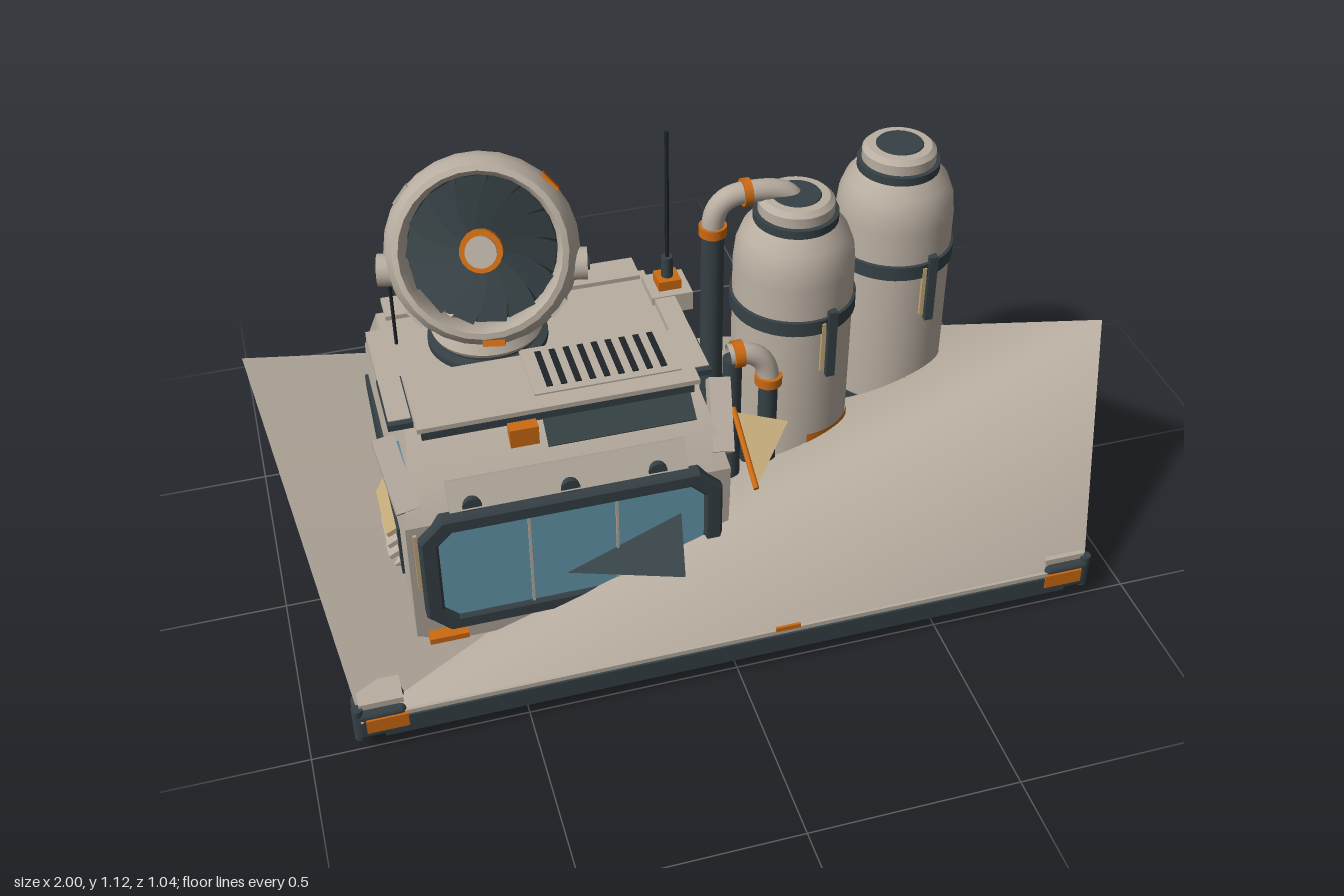
import * as THREE from 'three';
import { RoundedBoxGeometry } from 'three/addons/geometries/RoundedBoxGeometry.js';
import { toCreasedNormals } from 'three/addons/utils/BufferGeometryUtils.js';

const mat = (name, color, side = THREE.FrontSide) => {
  const m = new THREE.MeshStandardMaterial({ color, side });
  m.name = name;
  return m;
};

export function createModel() {
  const shell = mat('warm grey shell', 0xb9aea1, THREE.DoubleSide);
  const dark = mat('dark slate', 0x364145, THREE.DoubleSide);
  const black = mat('shadow black', 0x1d2427, THREE.DoubleSide);
  const orange = mat('signal orange', 0xcc6a12);
  const glass = mat('window blue', 0x6499ae);
  const sand = mat('pale sand', 0xc0a878, THREE.DoubleSide);
  const root = new THREE.Group();
  root.name = 'fieldStation';

  const add = (name, geo, material, pos = [0, 0, 0], parent = root) => {
    const m = new THREE.Mesh(geo, material);
    m.name = name;
    m.position.set(...pos);
    parent.add(m);
    return m;
  };
  const box = (name, size, pos, material, parent) =>
    add(name, new THREE.BoxGeometry(...size), material, pos, parent);
  const V = p => new THREE.Vector3(...p);
  const rod = (name, a, b, r, material, parent = root) => {
    const d = V(b).sub(V(a));
    const m = add(name, new THREE.CylinderGeometry(r, r, d.length(), 18), material,
      V(a).addScaledVector(d, 0.5).toArray(), parent);
    m.quaternion.setFromUnitVectors(new THREE.Vector3(0, 1, 0), d.normalize());
    return m;
  };
  const elbow = (name, a, corner, b, r) => add(name, new THREE.TubeGeometry(
    new THREE.QuadraticBezierCurve3(V(a), V(corner), V(b)), 12, r, 16), shell);
  const lathe = (pts, seg = 40) => toCreasedNormals(
    new THREE.LatheGeometry(pts.map(p => new THREE.Vector2(...p)), seg), 0.6);
  const facets = (pts, index) => {
    const g = new THREE.BufferGeometry();
    g.setAttribute('position', new THREE.Float32BufferAttribute(pts.flat(), 3));
    g.setIndex(index);
    g.computeVertexNormals();
    return g;
  };

  // Ground frame: long rails, end rails, corner blocks and cables
  for (const s of [1, -1]) {
    box('longRail', [1.66, 0.05, 0.035], [0, 0.07, s * 0.5], dark);
    box('longRailCap', [1.6, 0.012, 0.025], [0, 0.101, s * 0.5], shell);
    box('endRail', [0.022, 0.024, 0.92], [s * 0.87, 0.087, 0], dark);
    box('endRailCap', [0.034, 0.016, 0.92], [s * 0.87, 0.108, 0], shell);
    rod('endCable', [s * 0.89, 0.036, -0.5], [s * 0.89, 0.036, 0.5], 0.003, black);
    for (const t of [1, -1]) {
      add('cornerBlock', new RoundedBoxGeometry(0.12, 0.08, 0.08, 2, 0.015), dark, [s * 0.835, 0.08, t * 0.475]);
      box('cornerClamp', [0.1, 0.016, 0.07], [s * 0.83, 0.13, t * 0.465], shell);
      rod('cornerPin', [s * 0.885, 0.04, t * 0.5], [s * 0.885, 0.13, t * 0.5], 0.013, dark);
      add('groundFin', facets([[s * 0.82, 0.085, t * 0.44], [s * 0.82, 0.06, t * 0.36], [s * 0.82, 0, t * 0.24]],
        [0, 1, 2]), dark);
    }
    box('cornerPlate', [0.095, 0.038, 0.006], [s * 0.822, 0.085, 0.517], orange);
  }
  box('railMarker', [0.06, 0.012, 0.006], [0.12, 0.112, 0.512], orange);

  // Two folded deck sheets, one the half-turn of the other
  for (const s of [1, -1]) {
    add('deckSheet', facets([[-0.88 * s, 0.1, 0.51 * s], [0.88 * s, 0.1, 0.51 * s],
      [s, 0.61, 0.21 * s], [0.88 * s, 0.1, -0.52 * s]], [0, 1, 2, 0, 2, 3]), shell);
  }

  // Cabin: side profile [z, y] pulled across the width and narrowed at the roof
  const profile = [[0.34, 0.12], [0.36, 0.5], [0.31, 0.58], [0.2, 0.66], [-0.23, 0.66], [-0.28, 0.54], [-0.28, 0.12]];
  const hull = new THREE.ExtrudeGeometry(new THREE.Shape(profile.map(([z, y]) => new THREE.Vector2(-z, y))),
    { depth: 0.74, bevelEnabled: false });
  hull.rotateY(Math.PI / 2).translate(-0.72, 0, 0);
  const hp = hull.attributes.position;
  for (let i = 0; i < hp.count; i++) {
    const k = Math.max(0, hp.getY(i) - 0.5) * 0.7;
    hp.setX(i, -0.35 + (hp.getX(i) + 0.35) * (1 - k));
  }
  hull.computeVertexNormals();
  add('cabinHull', toCreasedNormals(hull, 0.4), shell);
  add('cabinFloor', facets([[-0.71, 0.115, 0.33], [-0.71, 0.115, -0.27], [0, 0.115, -0.27], [-0.25, 0.115, 0.05]],
    [0, 1, 3, 1, 2, 3]), black);

  // Front window with a rounded surround
  const roundRect = (w, h, r, C = THREE.Shape) => {
    const p = new C(), x = w / 2, y = h / 2;
    p.moveTo(-x + r, -y).lineTo(x - r, -y).lineTo(x, -y + r).lineTo(x, y - r)
      .lineTo(x - r, y).lineTo(-x + r, y).lineTo(-x, y - r).lineTo(-x, -y + r).closePath();
    return p;
  };
  const surround = roundRect(0.68, 0.32, 0.05);
  surround.holes.push(roundRect(0.62, 0.265, 0.035, THREE.Path));
  add('windowSurround', new THREE.ExtrudeGeometry(surround,
    { depth: 0.026, bevelSize: 0.006, bevelThickness: 0.006, bevelSegments: 1 }), dark, [-0.35, 0.355, 0.35]);
  box('windowGlass', [0.63, 0.275, 0.008], [-0.35, 0.355, 0.367], glass);
  for (const x of [-0.45, -0.25]) box('windowMullion', [0.006, 0.27, 0.005], [x, 0.355, 0.374], shell);
  add('sunVane', facets([[-0.37, 0.29, 0.372], [-0.1, 0.405, 0.372], [-0.13, 0.34, 0.51]], [0, 1, 2]), dark);
  const brow = box('brow', [0.54, 0.07, 0.02], [-0.35, 0.55, 0.335], shell);
  brow.rotation.x = -0.55;
  const slopePanel = box('slopePanel', [0.34, 0.075, 0.009], [-0.21, 0.62, 0.257], dark);
  slopePanel.rotation.x = -0.94;
  box('roofVisor', [0.64, 0.012, 0.2], [-0.34, 0.674, 0.15], shell);
  box('visorShadowBand', [0.62, 0.03, 0.012], [-0.34, 0.653, 0.232], dark);
  box('browLamp', [0.065, 0.048, 0.03], [-0.43, 0.628, 0.262], orange);
  for (const x of [-0.57, -0.35, -0.15]) rod('headlamp', [x, 0.53, 0.31], [x, 0.53, 0.36], 0.022, dark);

  // Cabin side trim, corner pillars and roof rails
  for (const s of [1, -1]) {
    const x = -0.35 + s * 0.37;
    const pillar = box('cornerPillar', [0.05, 0.17, 0.04], [x, 0.585, 0.272], shell);
    pillar.rotation.set(-0.8, 0, s * -0.15);
    box('sidePanel', [0.008, 0.13, 0.3], [x + s * 0.002, 0.46, -0.03], dark);
    box('roofRail', [0.05, 0.025, 0.34], [x - s * 0.03, 0.665, 0.03], shell);
    box('roofRailBand', [0.056, 0.015, 0.17], [x - s * 0.03, 0.668, 0.13], dark);
    for (let i = 0; i < 6; i++) {
      const slat = box('sideLouver', [0.03, 0.012, 0.2], [x + s * 0.015, 0.18 + i * 0.035, 0.1], i === 5 ? sand : shell);
      slat.rotation.z = -s * 0.5;
    }
    box('louverBack', [0.008, 0.23, 0.23], [x + s * 0.002, 0.26, 0.1], dark);
  }
  box('leftSideWindow', [0.009, 0.08, 0.1], [0.023, 0.43, 0.285], glass);
  const quarterLight = box('rightQuarterLight', [0.009, 0.08, 0.09], [-0.709, 0.56, 0.22], glass);
  quarterLight.rotation.z = -0.25;
  add('sandFlap', facets([[0.12, 0.4, 0.05], [0.25, 0.38, 0.1], [0.12, 0.3, 0.24]], [0, 1, 2]), sand);
  rod('flapHinge', [0.125, 0.41, 0.05], [0.125, 0.31, 0.24], 0.007, orange);
  box('windowEdgeStrip', [0.008, 0.16, 0.012], [-0.702, 0.4, 0.36], sand);
  box('stepLight', [0.09, 0.015, 0.03], [-0.65, 0.16, 0.36], orange);

  // Rear door, and dark panels under the rear roof edge
  box('doorOutline', [0.34, 0.23, 0.006], [-0.35, 0.43, -0.282], dark);
  box('door', [0.315, 0.205, 0.009], [-0.35, 0.43, -0.284], shell);
  box('doorLatch', [0.03, 0.04, 0.009], [-0.24, 0.45, -0.29], orange);
  for (const x of [-0.52, -0.16]) {
    const p = box('rearPanel', [0.22, 0.085, 0.008], [x, 0.602, -0.256], dark);
    p.rotation.x = 0.395;
  }
  box('rearRoofEdge', [0.62, 0.014, 0.08], [-0.35, 0.664, -0.235], shell);

  // Roof grille
  box('grillePlate', [0.34, 0.012, 0.17], [-0.22, 0.678, 0.12], shell);
  for (let i = 0; i < 9; i++) box('grilleSlot', [0.014, 0.006, 0.13], [-0.35 + i * 0.033, 0.684, 0.12], black);

  // Turntable and tilted fan
  add('turntable', lathe([[0, 0.65], [0.14, 0.65], [0.14, 0.675], [0.12, 0.68], [0.12, 0.7], [0, 0.7]]), dark, [-0.44, 0, -0.07]);
  add('turntableCollar', lathe([[0.125, 0.69], [0.13, 0.7], [0.11, 0.74], [0, 0.74]]), shell, [-0.44, 0, -0.07]);
  const fan = new THREE.Group();
  fan.name = 'fan';
  fan.position.set(-0.44, 0.91, -0.06);
  fan.rotation.set(-0.45, -0.22, 0, 'YXZ');
  root.add(fan);
  add('fanRing', lathe([[0.17, -0.065], [0.19, -0.065], [0.215, -0.035], [0.22, 0], [0.212, 0.035], [0.196, 0.062],
    [0.182, 0.066], [0.172, 0.05], [0.168, -0.05], [0.17, -0.065]], 28).rotateX(Math.PI / 2), shell, [0, 0, 0], fan);
  add('fanBack', new THREE.CylinderGeometry(0.172, 0.172, 0.02, 28).rotateX(Math.PI / 2), dark, [0, 0, -0.057], fan);
  add('fanWell', new THREE.CircleGeometry(0.17, 28), black, [0, 0, -0.02], fan);
  const bladeShape = new THREE.Shape();
  bladeShape.moveTo(0.035, -0.012).quadraticCurveTo(0.1, -0.012, 0.158, -0.062)
    .lineTo(0.17, 0.012).quadraticCurveTo(0.1, 0.042, 0.035, 0.015);
  for (let i = 0; i < 14; i++) {
    const blade = add('fanBlade', new THREE.ShapeGeometry(bladeShape, 6).rotateX(0.35), dark, [0, 0, 0.015], fan);
    blade.rotation.z = i * Math.PI / 7;
  }
  rod('hubRing', [0, 0, -0.02], [0, 0, 0.045], 0.049, orange, fan);
  rod('hubCap', [0, 0, 0.03], [0, 0, 0.06], 0.036, shell, fan);
  for (const a of [0.75, 2.5, 3.9, 5.6]) {
    const clip = box('ringClip', [0.012, 0.05, 0.05], [Math.cos(a) * 0.214, Math.sin(a) * 0.214, 0],
      a < 1 ? orange : shell, fan);
    clip.rotation.z = a;
  }
  box('lowerClip', [0.05, 0.014, 0.03], [0.02, -0.205, 0.045], orange, fan);
  for (const s of [1, -1]) {
    rod('pivot', [s * 0.2, -0.04, 0], [s * 0.235, -0.04, 0], 0.037, shell, fan);
    rod('pivotCap', [s * 0.23, -0.04, 0], [s * 0.24, -0.04, 0], 0.015, dark, fan);
    rod('fanStrut', [-0.44 + s * 0.07, 0.7, -0.06], [-0.44 + s * 0.1, 0.78, -0.03], 0.025, shell);
  }

  // Aerials
  box('aerialBase', [0.1, 0.05, 0.1], [0.01, 0.655, -0.13], shell);
  box('aerialSocket', [0.055, 0.03, 0.055], [0.01, 0.69, -0.13], orange);
  rod('aerialFoot', [0.01, 0.7, -0.13], [0.01, 0.76, -0.13], 0.014, dark);
  rod('aerial', [0.01, 0.75, -0.13], [0.01, 1.1, -0.13], 0.005, black);
  rod('shortAerial', [-0.65, 0.6, -0.1], [-0.65, 0.84, -0.1], 0.004, black);

  // Storage tanks
  for (const [x, z] of [[0.32, -0.1], [0.64, -0.25]]) {
    const tank = new THREE.Group();
    tank.name = 'tank';
    tank.position.set(x, 0, z);
    root.add(tank);
    const part = (name, pts, m) => add(name, lathe(pts), m, [0, 0, 0], tank);
    part('tankFoot', [[0, 0.13], [0.135, 0.13], [0.147, 0.15], [0.147, 0.21]], dark);
    part('tankBody', [[0.148, 0.21], [0.148, 0.72], [0.143, 0.765], [0.128, 0.805], [0.1, 0.84]], shell);
    part('tankBand', [[0.147, 0.59], [0.155, 0.592], [0.155, 0.63], [0.147, 0.632]], dark);
    part('tankCollar', [[0.09, 0.832], [0.103, 0.835], [0.103, 0.858], [0.08, 0.86]], dark);
    part('tankCap', [[0.092, 0.858], [0.092, 0.885], [0.08, 0.897], [0.055, 0.898]], shell);
    part('tankHatch', [[0.06, 0.897], [0.057, 0.901], [0, 0.901]], dark);
    add('tankLabel', new THREE.CylinderGeometry(0.151, 0.151, 0.028, 20, 1, true, 0, 1.92), orange, [0, 0.267, 0], tank);
    box('gauge', [0.022, 0.19, 0.02], [0.05, 0.555, 0.147], dark, tank);
    box('gaugeTube', [0.01, 0.14, 0.012], [0.028, 0.55, 0.15], sand, tank);
  }

  // Feed line into the far tank, and the riser bending over to the pump box
  rod('feedPipe', [0.62, 0.205, 0.17], [0.62, 0.205, -0.1], 0.022, dark);
  rod('feedFlange', [0.62, 0.205, -0.07], [0.62, 0.205, -0.1], 0.035, shell);
  rod('feedPipeEnd', [0.62, 0.205, 0.15], [0.62, 0.205, 0.175], 0.028, dark);
  rod('riserFoot', [0.42, 0.115, 0.195], [0.42, 0.15, 0.195], 0.036, dark);
  rod('riser', [0.42, 0.13, 0.195], [0.42, 0.23, 0.195], 0.026, shell);
  rod('riserRing', [0.42, 0.195, 0.195], [0.42, 0.215, 0.195], 0.031, orange);
  elbow('riserElbow', [0.42, 0.23, 0.195], [0.42, 0.278, 0.195], [0.36, 0.278, 0.195], 0.026);
  rod('riserJoint', [0.365, 0.278, 0.195], [0.345, 0.278, 0.195], 0.032, orange);
  rod('riserEnd', [0.35, 0.278, 0.195], [0.26, 0.278, 0.195], 0.024, shell);

  // Pump box
  add('pumpBox', new RoundedBoxGeometry(0.2, 0.11, 0.15, 2, 0.015), shell, [0.15, 0.19, 0.305]);
  box('pumpMark', [0.1, 0.05, 0.008], [0.15, 0.19, 0.381], orange);

  // Tall transfer pipe into the near tank and the lower branch beside it
  rod('transferPipe', [0.12, 0.12, -0.12], [0.12, 0.82, -0.12], 0.028, dark);
  rod('transferRing', [0.12, 0.81, -0.12], [0.12, 0.835, -0.12], 0.034, orange);
  elbow('transferElbow', [0.12, 0.83, -0.12], [0.12, 0.912, -0.12], [0.2, 0.912, -0.12], 0.027);
  rod('transferJoint', [0.19, 0.912, -0.12], [0.21, 0.912, -0.12], 0.034, orange);
  elbow('transferEnd', [0.2, 0.912, -0.12], [0.32, 0.915, -0.12], [0.32, 0.86, -0.11], 0.027);
  rod('branchPipe', [0.13, 0.12, 0.02], [0.13, 0.54, 0.02], 0.024, dark);
  rod('branchRing', [0.13, 0.55, 0.02], [0.155, 0.55, 0.02], 0.034, orange);
  elbow('branchElbow', [0.12, 0.55, 0.02], [0.22, 0.56, 0.02], [0.22, 0.46, 0.03], 0.027);
  rod('branchJoint', [0.22, 0.455, 0.03], [0.22, 0.48, 0.03], 0.034, orange);
  rod('branchDrop', [0.22, 0.14, 0.03], [0.22, 0.46, 0.03], 0.024, dark);
  return root;
}
